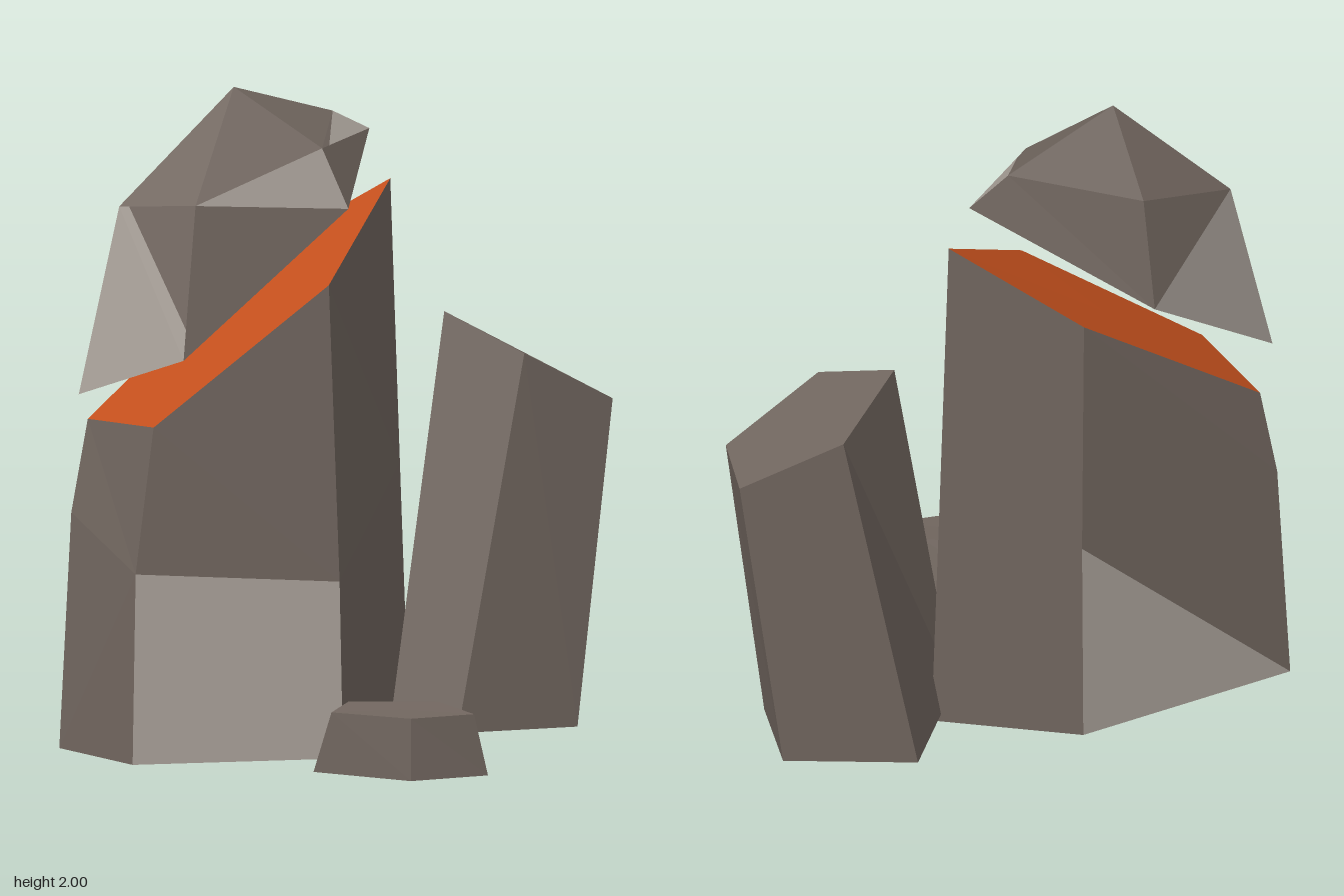
import * as THREE from 'three';

const rock = new THREE.MeshStandardMaterial({ color: 0x71665f });
rock.name = 'darkRock';
const pale = new THREE.MeshStandardMaterial({ color: 0xa8a098 });
pale.name = 'paleFacet';
const ember = new THREE.MeshStandardMaterial({ color: 0xc4501d });
ember.name = 'orangeCut';
const MATERIALS = [rock, pale, ember];
const DARK = 0, PALE = 1, ORANGE = 2, OPEN = -1;

const middle = (ring) => [0, 1, 2].map((k) => ring.reduce((s, p) => s + p[k], 0) / ring.length);
const between = (p, q, t) => p.map((v, k) => v + (q[k] - v) * t);

// Faceted stone from stacked rings (counter-clockwise seen from above).
// facets['band,side'] = [lower colour, upper colour, turn the diagonal]
// An OPEN facet is left out and filled by the triangles in pieces: [colour, a, b, c]
function facetedStone(name, rings, { facets = {}, pieces = [], apex, top = DARK, bottom = DARK } = {}) {
  const buckets = [[], [], []];
  const tri = (color, ...corners) => {
    if (color !== OPEN) corners.forEach((p) => buckets[color].push(...p));
  };
  const n = rings[0].length;

  // side facets
  for (let band = 0; band < rings.length - 1; band++) {
    for (let i = 0; i < n; i++) {
      const j = (i + 1) % n;
      const a = rings[band][i], b = rings[band][j];
      const c = rings[band + 1][j], d = rings[band + 1][i];
      const [low, high, turned] = facets[`${band},${i}`] ?? [DARK, DARK, false];
      if (turned) {
        tri(low, a, b, c);
        tri(high, a, c, d);
      } else {
        tri(low, a, b, d);
        tri(high, b, c, d);
      }
    }
  }
  pieces.forEach((piece) => tri(...piece));

  // top and underside
  const first = rings[0], last = rings[rings.length - 1];
  const tip = apex ?? middle(last), base = middle(first);
  for (let i = 0; i < n; i++) {
    const j = (i + 1) % n;
    tri(top, last[i], last[j], tip);
    tri(bottom, first[j], first[i], base);
  }

  const geometry = new THREE.BufferGeometry();
  geometry.setAttribute('position', new THREE.Float32BufferAttribute(buckets.flat(), 3));
  let start = 0;
  buckets.forEach((list, m) => {
    const count = list.length / 3;
    if (count) geometry.addGroup(start, count, m);
    start += count;
  });
  geometry.computeVertexNormals(); // unshared corners give flat facets
  const mesh = new THREE.Mesh(geometry, MATERIALS);
  mesh.name = name;
  return mesh;
}

// Broken-off cap hovering over the cut
function floatingCap() {
  const rim = [[-0.65, 1.24, -0.02], [-0.07, 1.64, -0.08], [0.155, 1.81, -0.39], [-0.38, 1.43, -0.545], [-0.845, 1.1, -0.33]];
  const shoulder = [[-0.57, 1.69, -0.1], [-0.13, 1.82, -0.135], [0.02, 1.88, -0.365], [-0.37, 1.77, -0.48], [-0.71, 1.66, -0.33]];
  const [rimFront, , rimRight] = rim;
  const [front, frontRight, right, , left] = shoulder;
  // pale chip edges that stop short of, or run past, the facet corners
  const chipTop = between(left, front, 0.13);
  const chipLow = between(rimFront, front, 0.2);
  const chipRight = between(frontRight, rimRight, 0.15);
  return facetedStone('floatingCap', [rim, shoulder], {
    facets: {
      '0,0': [DARK, PALE],
      '0,1': [DARK, OPEN],
      '0,3': [PALE, DARK, true],
      '0,4': [PALE, OPEN],
    },
    pieces: [
      [PALE, rimRight, right, chipRight],
      [DARK, chipRight, right, frontRight],
      [PALE, rimFront, chipLow, chipTop],
      [PALE, rimFront, chipTop, left],
      [DARK, chipLow, front, chipTop],
    ],
    apex: [-0.35, 2, -0.285],
    bottom: ORANGE,
  });
}

export function createModel() {
  const group = new THREE.Group();
  group.name = 'splitRocks';

  // Tall rock with a slanted orange cut; rings run front left, front, right, back, left
  group.add(facetedStone('mainRock', [
    [[-0.81, 0.02, -0.04], [-0.16, 0, 0.065], [0.228, 0, -0.27], [-0.16, 0, -0.52], [-0.87, 0.01, -0.41]],
    [[-0.78, 0.59, -0.08], [-0.15, 0.53, 0.022], [0.217, 0.8, -0.31], [-0.15, 0.65, -0.535], [-0.82, 0.72, -0.43]],
    [[-0.715, 1.03, -0.09], [-0.15, 1.42, -0.05], [0.205, 1.66, -0.35], [-0.15, 1.42, -0.55], [-0.765, 1.0, -0.43]],
  ], {
    facets: {
      '0,0': [PALE, PALE],
      '0,3': [PALE, DARK],
      '0,4': [DARK, DARK, true],
    },
    top: ORANGE,
  }));

  group.add(floatingCap());

  // Leaning five-sided pillar
  group.add(facetedStone('leaningPillar', [
    [[0.115, 0.04, -0.17], [0.25, 0.03, 0.01], [0.67, 0.005, -0.03], [0.73, 0, -0.33], [0.36, 0, -0.49]],
    [[0.36, 1.25, -0.3], [0.51, 1.15, -0.065], [0.82, 0.98, -0.095], [0.87, 0.965, -0.33], [0.59, 1.13, -0.465]],
  ]));

  // Small stone in front
  group.add(facetedStone('smallStone', [
    [[-0.385, 0.025, 0.318], [-0.165, 0.015, 0.528], [0.08, 0.015, 0.553], [0.03, 0.03, 0.36], [-0.265, 0.04, 0.215]],
    [[-0.345, 0.21, 0.358], [-0.165, 0.205, 0.528], [0.035, 0.205, 0.55], [-0.01, 0.22, 0.395], [-0.25, 0.22, 0.28]],
  ]));

  return group;
}
